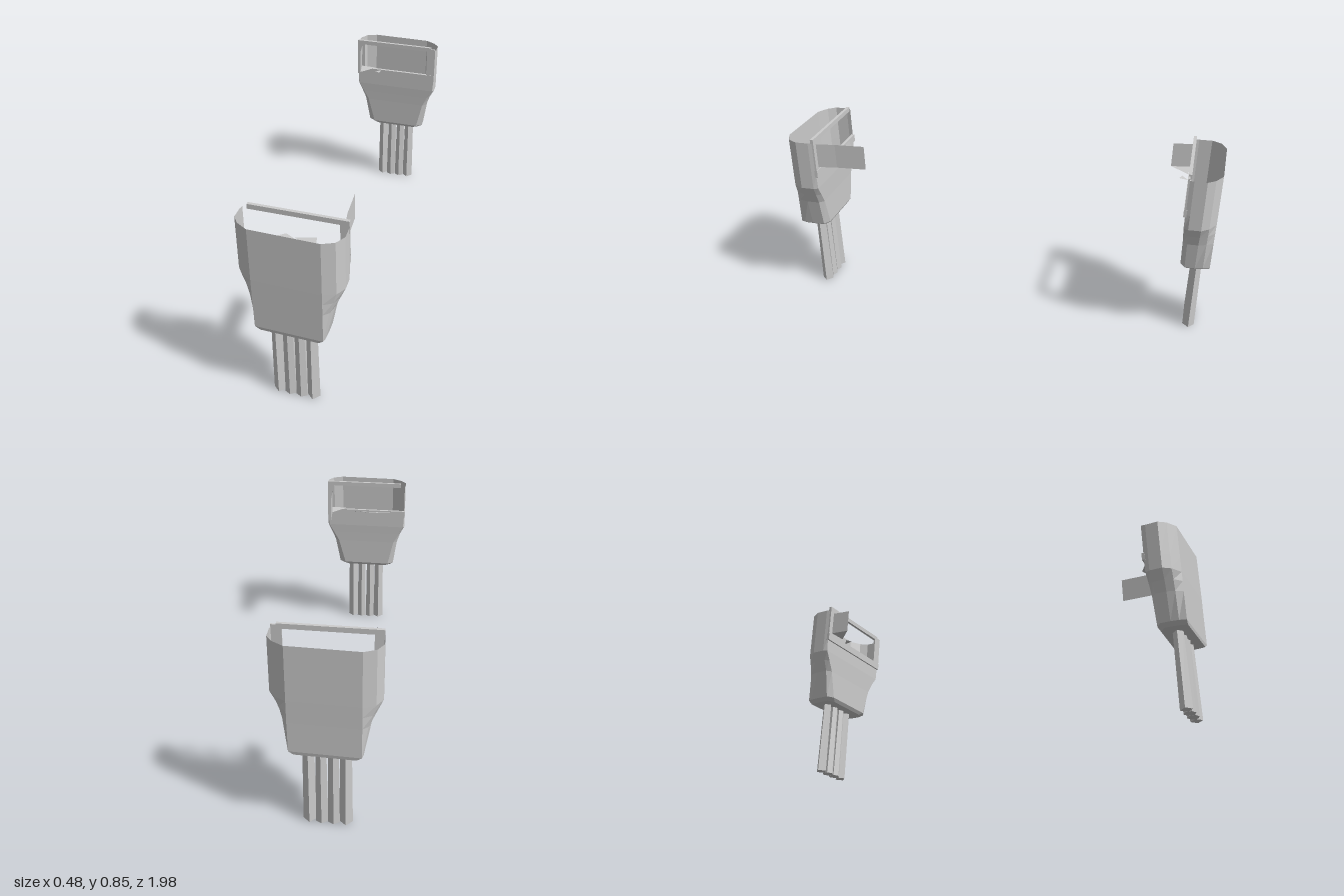
import * as THREE from 'three';

const grey = new THREE.MeshStandardMaterial({ color: 0xcccccc, side: THREE.DoubleSide });
grey.name = 'plain grey';

// Flat-faced mesh from a list of polygons (each fanned into triangles)
function polyMesh(name, polys) {
  const pos = [];
  for (const p of polys)
    for (let i = 1; i < p.length - 1; i++) pos.push(...p[0], ...p[i], ...p[i + 1]);
  const g = new THREE.BufferGeometry();
  g.setAttribute('position', new THREE.Float32BufferAttribute(pos, 3));
  g.computeVertexNormals();
  const m = new THREE.Mesh(g, grey);
  m.name = name;
  return m;
}

// Shell depth follows a slight skew across the width
const backZ = x => 0.838 + 0.06 * x;
const frontZ = x => 0.985 + 0.085 * (x - 0.03);

// One cross-section, running back left, round the front, to back right
function section([y, xL, xR, inset, chamfer]) {
  const fl = Math.max(-0.17, xL + 0.012), fr = Math.min(0.115, xR - 0.008);
  const zb = x => backZ(x) + inset;
  return [
    [xL + chamfer, y, zb(xL + chamfer)],
    [xL, y, zb(xL) + 0.02],
    [xL, y, 0.9],
    [(xL * 2 + fl) / 3, y, 0.935],
    [fl, y, frontZ(fl) - inset * 0.3],
    [fr, y, frontZ(fr) - inset * 0.3],
    [(xR * 2 + fr) / 3, y, 0.972],
    [xR, y, 0.93],
    [xR, y, zb(xR) + 0.02],
    [xR - chamfer, y, zb(xR - chamfer)],
  ];
}

function loft(name, rows, closed, cap) {
  const rings = rows.map(section), n = rings[0].length, polys = [];
  for (let j = 0; j < rings.length - 1; j++)
    for (let i = 0; i < (closed ? n : n - 1); i++) {
      const k = (i + 1) % n;
      polys.push([rings[j][i], rings[j][k], rings[j + 1][k], rings[j + 1][i]]);
    }
  if (cap) polys.push([...rings[0]].reverse());
  return polyMesh(name, polys);
}

// Upright plate between two plan points
const plate = (name, x0, z0, x1, z1, y0, y1) =>
  polyMesh(name, [[[x0, y0, z0], [x1, y0, z1], [x1, y1, z1], [x0, y1, z0]]]);

// Slim bar lying along the skewed inner side
function bar(name, x0, x1, y0, y1, out, depth) {
  const c = (x, y, d) => [x, y, backZ(x) - out + d];
  const f = [c(x0, y0, 0), c(x1, y0, 0), c(x1, y1, 0), c(x0, y1, 0)];
  const b = [c(x0, y0, depth), c(x1, y0, depth), c(x1, y1, depth), c(x0, y1, depth)];
  const polys = [[...f].reverse(), b];
  for (let i = 0; i < 4; i++) {
    const k = (i + 1) % 4;
    polys.push([f[i], f[k], b[k], b[i]]);
  }
  return polyMesh(name, polys);
}

function createPod(isFront) {
  const pod = new THREE.Group();
  pod.name = isFront ? 'frontPod' : 'backPod';

  // Tapered lower shell with a floor, then the open-topped upper wall
  pod.add(loft('lowerShell', [
    [0.353, -0.16, 0.102, 0.018, 0.03],
    [0.368, -0.18, 0.122, 0.008, 0.03],
    [0.5, -0.2, 0.148, 0.006, 0.02],
    [0.55, -0.217, 0.17, 0.004, 0.014],
    [0.595, -0.24, 0.19, 0.002, 0.008],
    [0.665, -0.24, 0.19, 0.002, 0.004],
  ], true, true));
  pod.add(loft('upperWall', [
    [0.665, -0.24, 0.19, 0.002, 0.004],
    [0.828, -0.24, 0.19, 0.002, 0.004],
  ], false, false));

  // Window frame on the inner side
  pod.add(bar('windowSill', -0.238, 0.188, 0.655, 0.69, 0.006, 0.014));
  pod.add(bar('windowTopBar', -0.215, 0.188, 0.825, 0.846, 0.004, 0.014));
  pod.add(bar('tabPost', 0.15, 0.188, 0.69, 0.825, 0.004, 0.008));
  if (!isFront) pod.add(bar('farPost', -0.238, -0.195, 0.69, 0.838, 0.004, 0.008));

  // Triangular bracket standing out from the window
  const y0 = 0.7, y1 = 0.815;
  pod.add(plate('bracketSide', 0.155, 0.757, 0.165, 0.845, y0, y1));
  pod.add(polyMesh('bracketFloor', [[[0.165, y0, 0.845], [0.085, y0, 0.835], [0.155, y0, 0.757]]]));

  if (isFront) {
    // Long strap end and the loose lips along the sill
    pod.add(plate('strapEnd', 0.15, 0.62, 0.155, 0.757, y0, y1));
    pod.add(polyMesh('sillLips', [
      [[-0.18, 0.68, 0.825], [-0.085, 0.695, 0.778], [0.03, 0.68, 0.835]],
      [[-0.05, 0.69, 0.79], [0.04, 0.7, 0.783], [0.05, 0.68, 0.838]],
    ]));
  } else {
    pod.add(polyMesh('sillLip', [[[0.055, 0.685, 0.838], [0.085, 0.69, 0.81], [0.058, 0.69, 0.795]]]));
  }

  // Four hanging rods
  for (let i = 0; i < 4; i++) {
    const sides = i === 0 || i === 3 ? 4 : 6;
    const g = new THREE.CylinderGeometry(0.023, 0.027, 0.372, sides).toNonIndexed();
    g.computeVertexNormals();
    const rod = new THREE.Mesh(g, grey);
    rod.name = 'rod' + (i + 1);
    rod.position.set(-0.098 + i * 0.049, 0.186, 0.911 + i * 0.003);
    pod.add(rod);
  }
  return pod;
}

export function createModel() {
  const model = new THREE.Group();
  model.name = 'podPair';
  const back = createPod(false);
  back.rotation.y = Math.PI;
  model.add(createPod(true), back);
  return model;
}
